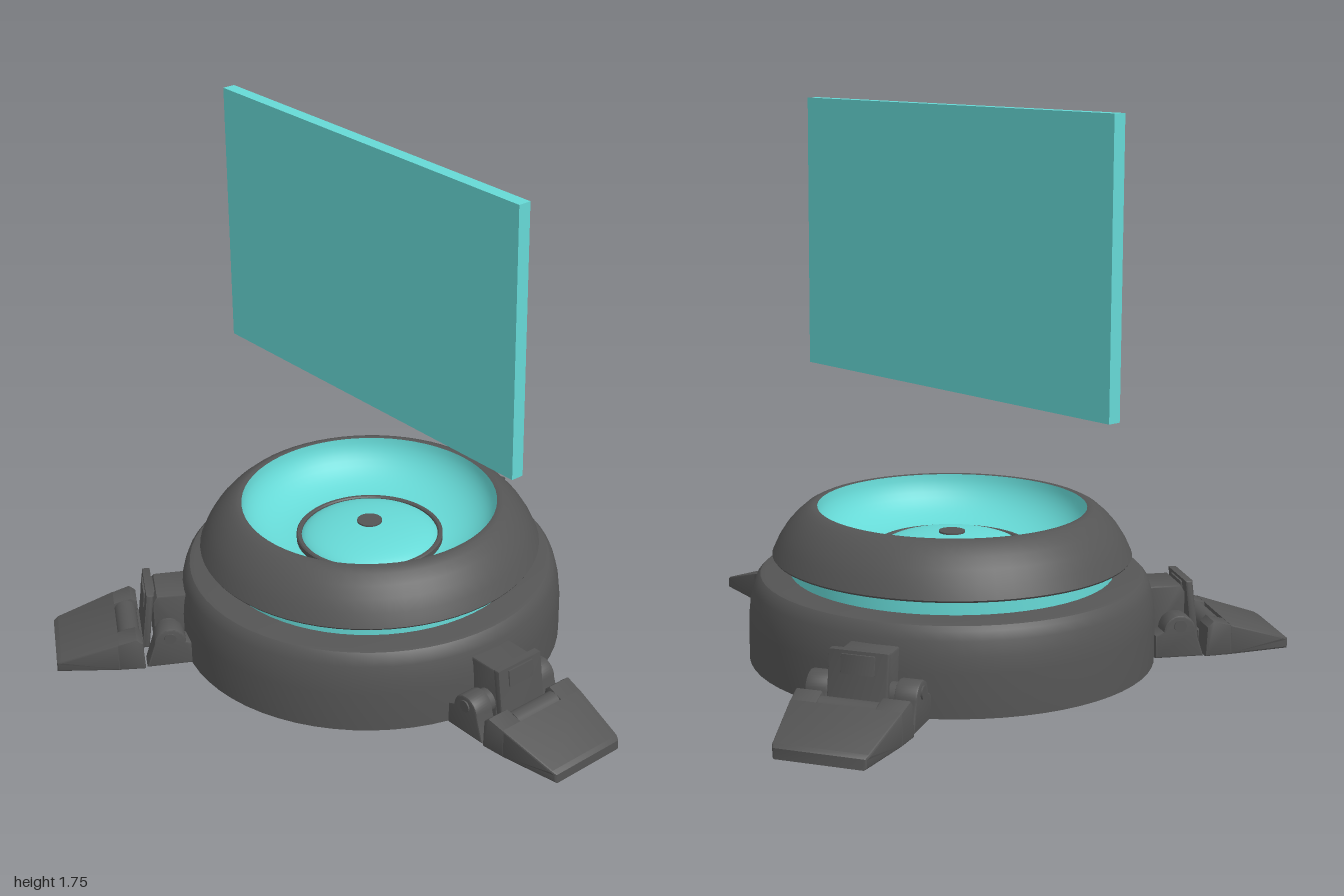
import * as THREE from 'three';
import { toCreasedNormals } from 'three/addons/utils/BufferGeometryUtils.js';

const dark = new THREE.MeshStandardMaterial({ color: 0x555555 });
const cyan = new THREE.MeshStandardMaterial({ color: 0x66d9d6 });

function add(parent, name, geometry, material = dark) {
  const mesh = new THREE.Mesh(geometry, material);
  mesh.name = name;
  parent.add(mesh);
  return mesh;
}

// Turned part from [radius, height] points
function turned(points, segments = 64) {
  const profile = points.map(([r, y]) => new THREE.Vector2(r, y));
  return toCreasedNormals(new THREE.LatheGeometry(profile, segments), 0.5);
}

// Side profile in x, y extended from z0 to z1 with a small bevel
function prism(points, z0, z1, bevel = 0.006) {
  const shape = points instanceof THREE.Shape ? points
    : new THREE.Shape(points.map(([x, y]) => new THREE.Vector2(x, y)));
  const geometry = new THREE.ExtrudeGeometry(shape, {
    depth: z1 - z0 - 2 * bevel, bevelEnabled: bevel > 0, bevelSize: bevel,
    bevelThickness: bevel, bevelOffset: -bevel, bevelSegments: 2, curveSegments: 10,
  });
  return toCreasedNormals(geometry.translate(0, 0, z0 + bevel), 0.5);
}

function rod(parent, name, radius, x, y, z0, z1) {
  const geometry = new THREE.CylinderGeometry(radius, radius, z1 - z0, 20).rotateX(Math.PI / 2);
  add(parent, name, geometry).position.set(x, y, (z0 + z1) / 2);
}

// Narrows the foot towards its tip
function taper(geometry) {
  const p = geometry.attributes.position;
  for (let i = 0; i < p.count; i++) {
    const k = Math.max(0, p.getX(i) - 0.8) / 0.275;
    const corner = Math.max(0, p.getX(i) - 1.04) / 0.035;
    p.setZ(i, 0.027 + (p.getZ(i) - 0.027) * (1 - 0.15 * k - 0.08 * corner));
  }
  geometry.deleteAttribute('normal');
  return toCreasedNormals(geometry, 0.5);
}

// One folding leg pointing along +x
function createLeg() {
  const leg = new THREE.Group();
  leg.name = 'leg';

  // Hinge cheeks with rounded tops and pins
  const cheek = new THREE.Shape();
  cheek.moveTo(0.62, 0.005);
  cheek.lineTo(0.78, 0.005);
  cheek.lineTo(0.753, 0.09);
  cheek.absarc(0.7, 0.09, 0.053, 0, Math.PI, false);
  cheek.lineTo(0.62, 0.08);
  for (const [z0, z1] of [[-0.145, -0.075], [0.13, 0.2]]) {
    add(leg, 'hingeCheek', prism(cheek, z0, z1));
    rod(leg, 'hingePin', 0.02, 0.7, 0.108, z0 - 0.005, z1 + 0.005);
  }
  rod(leg, 'hingeBarrel', 0.04, 0.7, 0.09, -0.08, 0.135);

  // Latch block between the cheeks and its tilted plate
  add(leg, 'latchBlock', prism([[0.61, 0.005], [0.745, 0.005], [0.745, 0.19],
    [0.73, 0.215], [0.61, 0.215]], -0.05, 0.105));
  add(leg, 'latchPlate', prism([[0.765, 0.03], [0.79, 0.03], [0.765, 0.232],
    [0.74, 0.232]], -0.065, 0.12));
  add(leg, 'latchButton', prism([[0.74, 0.165], [0.778, 0.165], [0.772, 0.222],
    [0.735, 0.222]], -0.025, 0.08, 0.004));

  // Wedge foot with a slot and roller at its inner end
  add(leg, 'footWedge', taper(prism([[0.868, 0.003], [1.075, 0.003], [1.075, 0.035],
    [1.06, 0.044], [0.868, 0.103]], -0.15, 0.204)));
  for (const [z0, z1] of [[-0.15, -0.062], [0.12, 0.204]]) {
    add(leg, 'footShoulder', taper(prism([[0.785, 0.003], [0.876, 0.003], [0.876, 0.1],
      [0.81, 0.118], [0.79, 0.1]], z0, z1)));
  }
  add(leg, 'footSlotFloor', prism([[0.785, 0.003], [0.875, 0.003], [0.875, 0.065],
    [0.785, 0.065]], -0.065, 0.125, 0));
  rod(leg, 'footRoller', 0.038, 0.832, 0.072, -0.06, 0.118);
  return leg;
}

export function createModel() {
  const model = new THREE.Group();
  model.name = 'projectorTable';
  const base = new THREE.Group();
  base.name = 'base';
  base.position.set(-0.19, 0, 0.008);
  model.add(base);

  // Hollow lower housing
  add(base, 'lowerHousing', turned([[0, 0.25], [0.465, 0.25], [0.465, 0.005], [0.647, 0.005],
    [0.647, 0.14], [0.642, 0.19], [0.632, 0.235], [0.622, 0.262], [0.61, 0.275],
    [0.595, 0.279], [0.3, 0.279]]));

  // Glowing band between the housings
  add(base, 'lightBand', turned([[0.515, 0.27], [0.515, 0.34]]), cyan);

  // Rounded upper collar
  add(base, 'upperCollar', turned([[0.4, 0.332], [0.568, 0.332], [0.572, 0.338], [0.552, 0.382],
    [0.528, 0.42], [0.5, 0.452], [0.47, 0.478], [0.45, 0.488], [0.438, 0.491], [0.428, 0.489]]));

  // Bowl, inner ring, lens dome and its cap
  const bowl = [], dome = [];
  for (let i = 0; i <= 12; i++) {
    const a = (i / 12) * Math.PI / 2;
    bowl.push([0.23 + 0.2 * Math.cos(a), 0.489 - 0.15 * Math.sin(a)]);
    dome.push([0.235 * Math.cos(a), 0.34 + 0.06 * Math.sin(a)]);
  }
  add(base, 'bowl', turned(bowl), cyan);
  add(base, 'lensRing', turned([[0.247, 0.33], [0.247, 0.358], [0.243, 0.362],
    [0.234, 0.362], [0.23, 0.358], [0.23, 0.33]]));
  add(base, 'lensDome', turned(dome), cyan);
  add(base, 'lensCap', new THREE.CylinderGeometry(0.042, 0.042, 0.02, 32)).position.y = 0.394;

  // Three legs evenly spaced
  for (let i = 0; i < 3; i++) {
    const leg = createLeg();
    leg.rotation.y = (i * 2 * Math.PI) / 3;
    base.add(leg);
  }

  // Floating display panel
  add(model, 'displayPanel', new THREE.BoxGeometry(1.405, 0.89, 0.044), cyan)
    .position.set(-0.188, 1.303, 0.01);
  return model;
}
